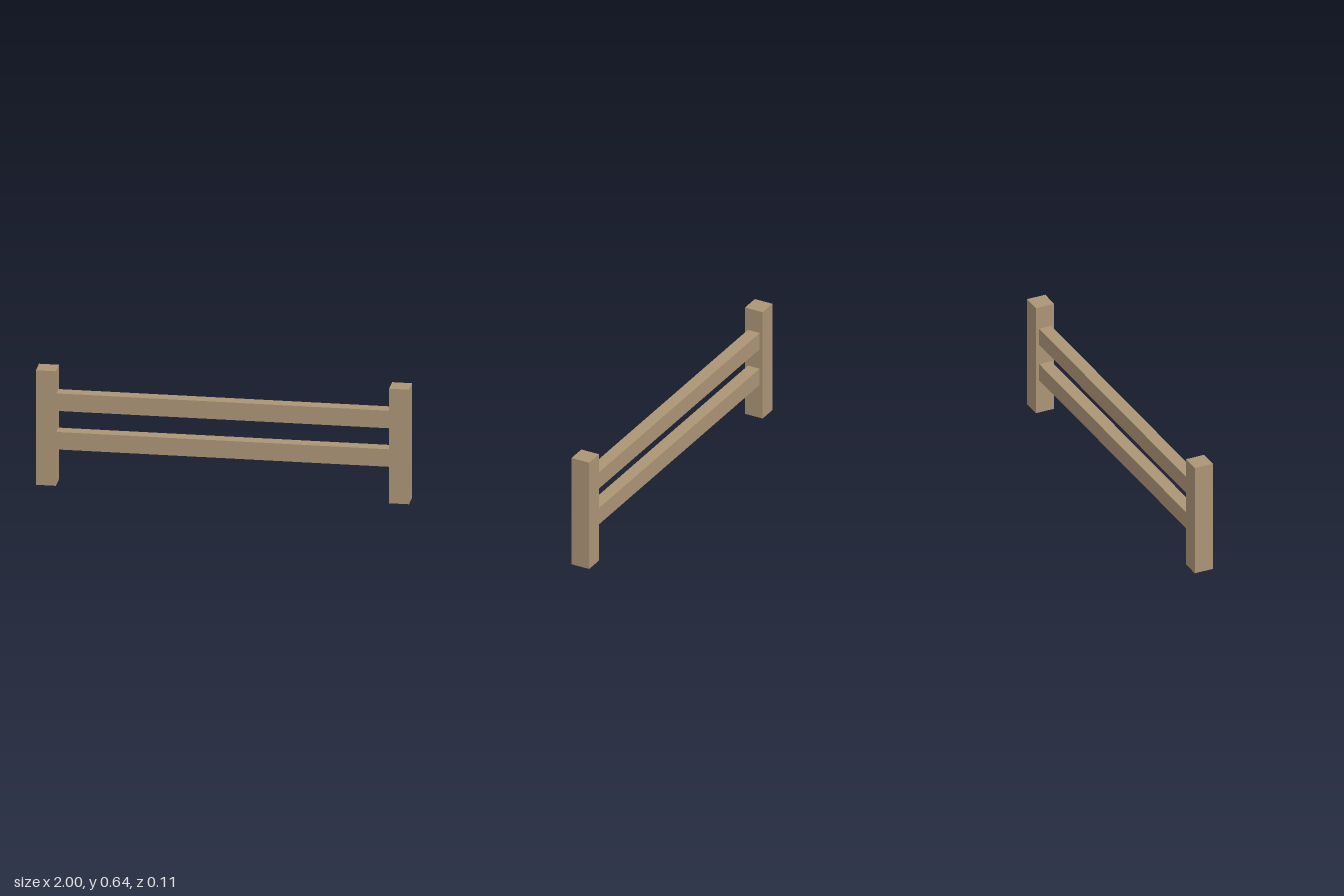
import * as THREE from 'three';

export function createModel() {
  const group = new THREE.Group();
  group.name = 'fence';
  const wood = new THREE.MeshStandardMaterial({ color: 0xab9475, flatShading: true });

  const beam = (name, [w, h, d], x, y) => {
    const mesh = new THREE.Mesh(new THREE.BoxGeometry(w, h, d), wood);
    mesh.name = name;
    mesh.position.set(x, y, 0);
    group.add(mesh);
  };

  const postWidth = 0.107;
  const postHeight = 0.642;
  const span = 2 - 2 * postWidth;

  // Square end posts
  for (const [side, name] of [[1, 'leftPost'], [-1, 'rightPost']]) {
    beam(name, [postWidth, postHeight, postWidth], side * (1 - postWidth / 2), postHeight / 2);
  }

  // Horizontal rails between the inner faces of the posts
  for (const [name, y] of [['lowerRail', 0.247], ['upperRail', 0.463]]) {
    beam(name, [span, 0.098, 0.071], 0, y);
  }

  return group;
}
